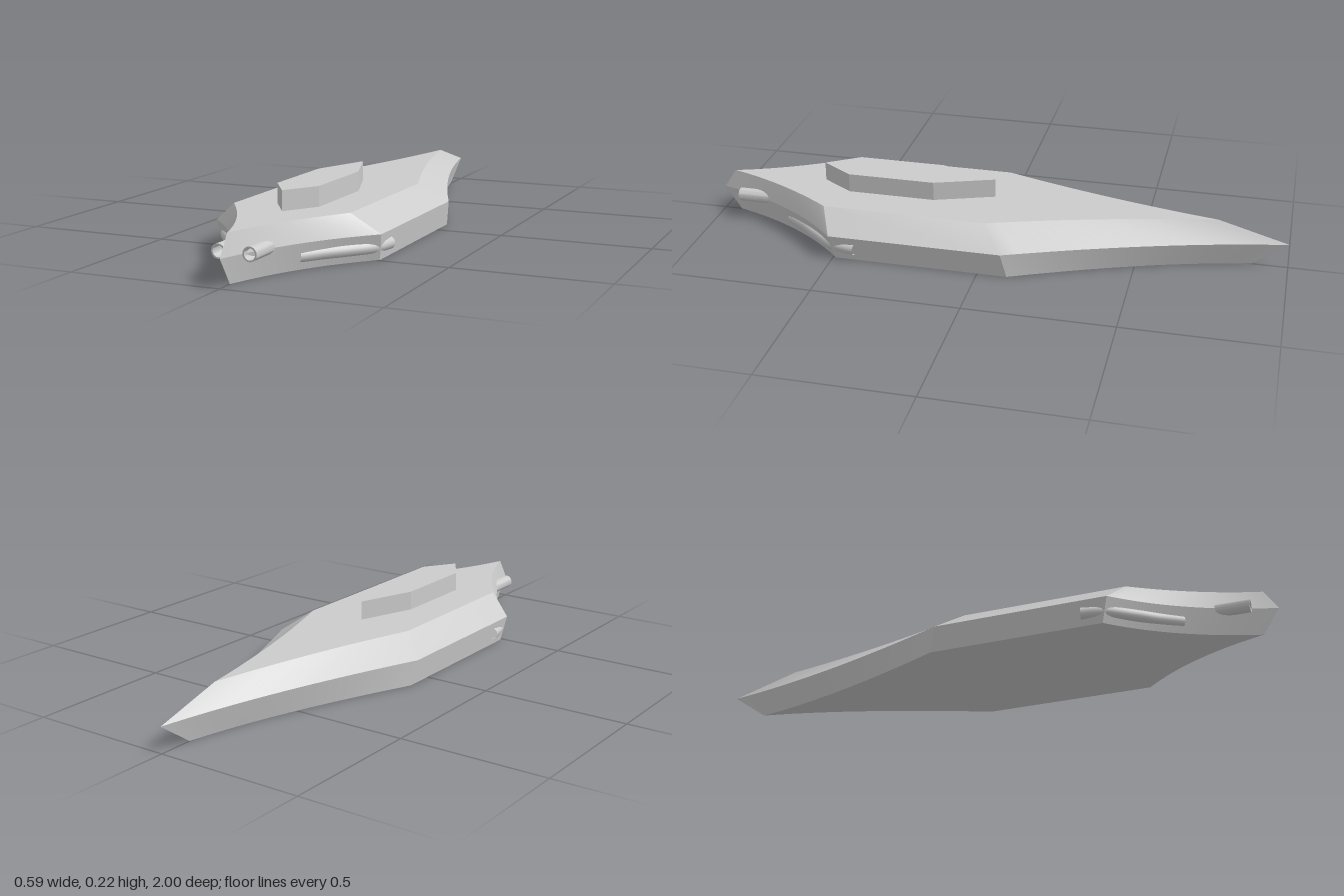
import * as THREE from 'three';
import { toCreasedNormals } from 'three/addons/utils/BufferGeometryUtils.js';

const material = new THREE.MeshStandardMaterial({ color: 0xcccccc });
const openMaterial = new THREE.MeshStandardMaterial({ color: 0xcccccc, side: THREE.DoubleSide });

function addMesh(parent, name, geometry, mat = material) {
  const mesh = new THREE.Mesh(geometry, mat);
  mesh.name = name;
  parent.add(mesh);
  return mesh;
}

// Half outline of one hull level, stern tip to bow tip, as vectors (x, z)
function halfOutline(sternTip, sternCtrl, sternCorner, bowCorner, bowCtrl, bowTip) {
  const v = (p) => new THREE.Vector2(p[0], p[1]);
  const stern = new THREE.QuadraticBezierCurve(v([0, sternTip]), v(sternCtrl), v(sternCorner));
  const bow = new THREE.QuadraticBezierCurve(v(bowCorner), v(bowCtrl), v([0, bowTip]));
  return [...stern.getPoints(20), ...bow.getPoints(20)];
}

// Hull: three stacked outlines joined to the centre line and mirrored
function hullGeometry() {
  const bottom = halfOutline(-0.88, [0.06, -0.56], [0.272, -0.1], [0.272, 0.49], [0.085, 0.67], 0.94);
  const middle = halfOutline(-1, [0.07, -0.6], [0.285, -0.08], [0.285, 0.51], [0.09, 0.7], 0.995);
  const top = halfOutline(-0.76, [0.07, -0.38], [0.2, -0.01], [0.2, 0.55], [0.06, 0.75], 0.95);
  const sections = bottom.map((b, i) => {
    const m = middle[i], t = top[i];
    return [
      [0, 0, b.y], [b.x, 0, b.y], [m.x, 0.085, m.y], [t.x, 0.152, t.y], [0, 0.152, t.y],
    ].map((p) => new THREE.Vector3(...p));
  });
  const positions = [];
  const triangle = (a, b, c) => {
    const area = new THREE.Triangle(a, b, c).getArea();
    if (area < 1e-9) return;
    for (const p of [a, b, c]) positions.push(p.x, p.y, p.z);
    for (const p of [a, c, b]) positions.push(-p.x, p.y, p.z);
  };
  for (let i = 0; i < sections.length - 1; i++) {
    for (let j = 0; j < 4; j++) {
      const a = sections[i][j], b = sections[i + 1][j];
      const c = sections[i + 1][j + 1], d = sections[i][j + 1];
      triangle(a, d, c);
      triangle(a, c, b);
    }
  }
  const geometry = new THREE.BufferGeometry();
  geometry.setAttribute('position', new THREE.Float32BufferAttribute(positions, 3));
  return toCreasedNormals(geometry, 0.3);
}

// Raised six-sided deck block
function deckGeometry() {
  const outline = [[0, 0], [0.072, 0.2], [0.072, 0.5], [0, 0.61], [-0.072, 0.5], [-0.072, 0.2]];
  const shape = new THREE.Shape(outline.map(([x, z]) => new THREE.Vector2(x, -z)));
  const geometry = new THREE.ExtrudeGeometry(shape, { depth: 0.075, bevelEnabled: false });
  return geometry.rotateX(-Math.PI / 2).translate(0, 0.142, 0);
}

// Hollow bow tube with a thin rim
function bowTubeGeometry() {
  const profile = [[0, 0], [0.023, 0], [0.023, 0.115], [0.018, 0.115], [0.018, 0.01], [0, 0.01]];
  const lathe = new THREE.LatheGeometry(profile.map((p) => new THREE.Vector2(...p)), 20);
  return toCreasedNormals(lathe.rotateX(Math.PI / 2), 0.6);
}

// Pipe hugging the concave bow side and leaving at the hull flank
function sidePipeGeometry(side) {
  const points = [[0.1, 0.705], [0.145, 0.642], [0.195, 0.583], [0.255, 0.5], [0.276, 0.42]];
  const path = new THREE.CatmullRomCurve3(points.map(([x, z]) => new THREE.Vector3(side * x, 0.042, z)));
  return new THREE.TubeGeometry(path, 32, 0.02, 16);
}

export function createModel() {
  const model = new THREE.Group();
  model.name = 'ship';
  addMesh(model, 'hull', hullGeometry());
  addMesh(model, 'deckBlock', deckGeometry());
  for (const [side, label] of [[1, 'left'], [-1, 'right']]) {
    addMesh(model, label + 'BowTube', bowTubeGeometry()).position.set(side * 0.051, 0.086, 0.8);
    addMesh(model, label + 'SidePipe', sidePipeGeometry(side), openMaterial);
  }
  return model;
}
